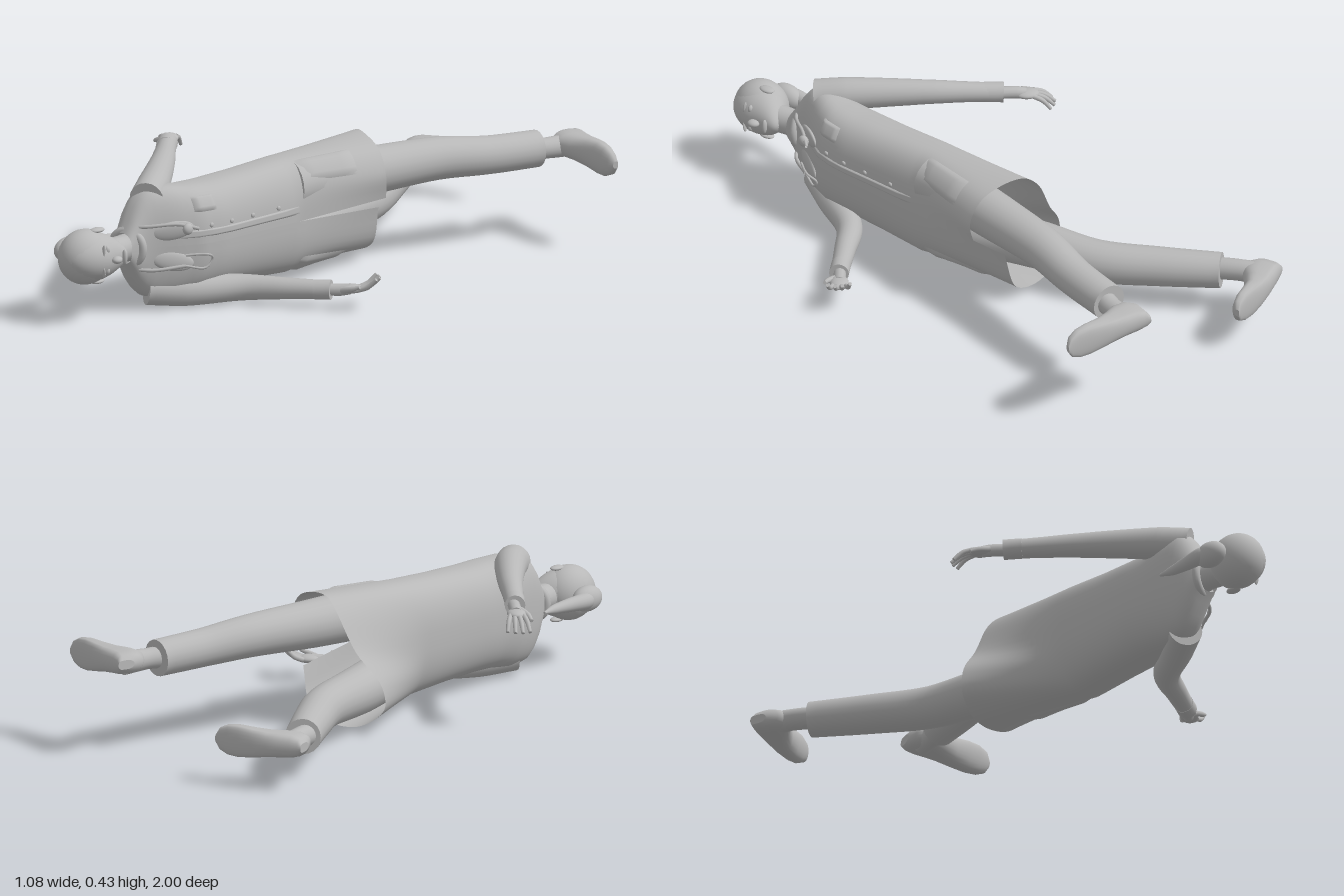
import * as THREE from 'three';

const V = (x, y, z) => new THREE.Vector3(x, y, z);
const Y = V(0, 1, 0);

export function createModel() {
  const model = new THREE.Group();
  const grey = new THREE.MeshStandardMaterial({ color: 0xb8b8b8, side: THREE.DoubleSide });
  grey.name = 'plain grey';

  function add(name, geo, parent = model) {
    const mesh = new THREE.Mesh(geo, grey);
    mesh.name = name;
    parent.add(mesh);
    return mesh;
  }

  // Skin a list of rings; closed rings wrap around and may be capped
  function loft(rings, closed = true, cap = closed) {
    const n = rings[0].length, pos = [], idx = [];
    rings.forEach(r => r.forEach(p => pos.push(p.x, p.y, p.z)));
    for (let i = 0; i < rings.length - 1; i++)
      for (let j = 0; j < (closed ? n : n - 1); j++) {
        const k = (j + 1) % n, a = i * n + j, b = i * n + k;
        idx.push(a, b, a + n, b, b + n, a + n);
      }
    if (cap) [0, rings.length - 1].forEach(i => {
      const c = rings[i].reduce((s, p) => s.add(p), V(0, 0, 0)).divideScalar(n);
      const base = pos.length / 3;
      pos.push(c.x, c.y, c.z);
      rings[i].forEach(p => pos.push(p.x, p.y, p.z));
      for (let j = 0; j < n; j++) {
        const a = base + 1 + j, b = base + 1 + (j + 1) % n;
        if (i) idx.push(base, a, b); else idx.push(base, b, a);
      }
    });
    const g = new THREE.BufferGeometry();
    g.setAttribute('position', new THREE.Float32BufferAttribute(pos, 3));
    g.setIndex(idx);
    g.computeVertexNormals();
    return g;
  }

  // Smooth limb through stations [x, y, z, radius]
  function limb(stations, steps = 24, sides = 20) {
    const path = new THREE.CatmullRomCurve3(stations.map(s => V(s[0], s[1], s[2])));
    const rings = [];
    for (let i = 0; i <= steps; i++) {
      const t = i / steps, f = t * (stations.length - 1);
      const k = Math.min(Math.floor(f), stations.length - 2);
      const r = THREE.MathUtils.lerp(stations[k][3], stations[k + 1][3], f - k);
      const c = path.getPoint(t), d = path.getTangent(t);
      const v = d.clone().cross(Y).normalize(), u = v.clone().cross(d).normalize();
      rings.push(Array.from({ length: sides }, (_, j) => {
        const a = j / sides * Math.PI * 2;
        return c.clone().addScaledVector(u, r * Math.cos(a)).addScaledVector(v, r * Math.sin(a));
      }));
    }
    return loft(rings);
  }

  function blob(name, p, s, parent) {
    const m = add(name, new THREE.SphereGeometry(1, 24, 16), parent);
    m.position.set(...p);
    m.scale.set(...s);
    return m;
  }
  const cord = (name, pts, r, closed = false) => add(name,
    new THREE.TubeGeometry(new THREE.CatmullRomCurve3(pts.map(p => V(...p)), closed), 40, r, 6, closed));

  // Coat: oval body rows [z, centre x, half depth, half width], flowing into a striding hem
  const rows = [[.13, .015, .115, .19], [.3, .01, .115, .18], [.45, .005, .118, .175],
    [.53, 0, .11, .178], [.6, -.02, .095, .185], [.66, -.035, .075, .18],
    [.7, -.04, .062, .145], [.73, -.035, .052, .09], [.755, -.03, .045, .05]];
  const hem = new THREE.CatmullRomCurve3([[.19, .25, -.19], [.2, .33, -.18], [.16, .4, -.19],
    [.08, .43, -.21], [0, .43, -.235], [-.05, .39, -.25], [-.12, .27, -.24], [-.2, .17, -.21],
    [-.21, .09, -.205], [-.14, .03, -.23], [-.04, .02, -.245], [.06, .06, -.25], [.1, .19, -.24]
  ].map(p => V(...p)));
  const soft = x => Math.sign(x) * Math.abs(x) ** 0.8;
  function coatPoint(u, z) {
    const zz = Math.max(z, .13);
    let k = 0;
    while (k < rows.length - 2 && zz > rows[k + 1][0]) k++;
    const f = (zz - rows[k][0]) / (rows[k + 1][0] - rows[k][0]);
    const [, cx, rx, ry] = rows[k].map((q, i) => THREE.MathUtils.lerp(q, rows[k + 1][i], f));
    const a = u * Math.PI * 2;
    const p = V(cx + rx * soft(Math.cos(a)), .222 + ry * soft(Math.sin(a)), zz);
    return z < .13 ? p.lerp(hem.getPoint(u), (.13 - z) / .36) : p;
  }
  // A point raised off the coat surface
  function above(u, z, lift) {
    const p = coatPoint(u, z), e = .004;
    const n = coatPoint(u + e, z).sub(coatPoint(u - e, z))
      .cross(coatPoint(u, z + e).sub(coatPoint(u, z - e))).normalize();
    return p.addScaledVector(n, lift);
  }
  function patch(name, u0, u1, z0, z1, lift) {
    const grid = [];
    for (let i = 0; i <= 8; i++) grid.push(Array.from({ length: 9 }, (_, j) =>
      above(u0 + (u1 - u0) * j / 8, z0 + (z1 - z0) * i / 8, (i % 8 && j % 8) ? lift : 0)));
    add(name, loft(grid, false));
  }
  const coatRings = [];
  for (let i = 0; i <= 44; i++) {
    const z = -.23 + (.755 + .23) * i / 44;
    coatRings.push(Array.from({ length: 65 }, (_, j) => coatPoint(j / 64, z)));
  }
  add('coat', loft(coatRings, false));
  patch('chestPocket', .085, .15, .47, .55, .007);
  patch('leftHipPocket', .1, .2, -.12, .1, .007);
  patch('rightHipPocket', .8, .9, -.12, .1, .007);
  patch('frontPlacket', .012, .03, .13, .6, .005);
  for (const z of [.5, .42, .33, .22]) {
    const p = above(.04, z, .003);
    blob('button', [p.x, p.y, p.z], [.005, .008, .008]);
  }

  // Collar and chest items
  const collar = add('collar', new THREE.TorusGeometry(.056, .013, 10, 32));
  collar.position.set(-.028, .222, .735);
  collar.rotation.y = .35;
  for (const s of [-1, 1]) {
    const lapel = blob(s < 0 ? 'rightLapel' : 'leftLapel',
      [.06, .222 + s * .05, .62], [.012, .032, .07]);
    lapel.rotation.set(s * .2, -.55, 0);
  }
  cord('neckTube', [[.13, .285, .57], [.09, .3, .62], [.03, .295, .7], [-.05, .28, .745],
    [-.085, .222, .75], [-.05, .165, .745], [.03, .15, .7], [.1, .16, .6]], .006);
  cord('hangingLoop', [[.1, .16, .6], [.13, .15, .54], [.14, .18, .52], [.15, .2, .55], [.11, .2, .61]], .004);
  blob('chestPiece', [.11, .285, .6], [.014, .019, .019]);

  // Trousers, ankles and shoes
  add('leftTrouser', limb([[.05, .32, .1, .085], [.1, .32, -.2, .078], [.15, .322, -.45, .069],
    [.2, .31, -.62, .062], [.24, .305, -.8, .06]]));
  add('rightTrouser', limb([[0, .13, .1, .08], [-.09, .13, -.2, .078], [-.14, .13, -.42, .069],
    [-.24, .135, -.6, .064], [-.345, .14, -.77, .058]]));
  add('leftAnkle', limb([[.235, .305, -.77, .036], [.26, .305, -.83, .034], [.28, .305, -.92, .038]], 8));
  add('rightAnkle', limb([[-.34, .14, -.74, .036], [-.375, .15, -.83, .035], [-.4, .15, -.9, .038]], 8));
  function shoe(name, heel, forward, bend) {
    const f = V(...forward).normalize(), up = f.clone().cross(Y).normalize();
    const side = up.clone().cross(f);
    // distance from heel, half width, height
    const cuts = [[0, .015, .06], [.012, .03, .1], [.04, .038, .122], [.08, .04, .12], [.12, .042, .095],
      [.17, .048, .07], [.22, .053, .056], [.26, .05, .046], [.29, .036, .034], [.304, .012, .018]];
    add(name, loft(cuts.map(([d, w, h]) => Array.from({ length: 24 }, (_, j) => {
      const a = j / 24 * Math.PI * 2, sn = Math.sin(a);
      const lift = h / 2 * (1 + Math.sign(sn) * Math.abs(sn) ** (sn < 0 ? .4 : .9))
        - bend * Math.sin(d / .304 * Math.PI);
      return V(...heel).addScaledVector(f, d).addScaledVector(side, w * Math.cos(a)).addScaledVector(up, lift);
    }))));
  }
  shoe('leftShoe', [.245, .315, -.983], [.29, -.02, .1], 0);
  shoe('rightShoe', [-.465, .15, -.925], [.29, 0, -.07], .018);

  // Sleeves with turned cuffs
  add('leftSleeve', limb([[-.02, .37, .66, .055], [-.08, .385, .575, .053], [-.235, .393, .39, .04],
    [-.32, .39, .3, .034], [-.405, .385, .21, .03]]));
  add('rightSleeve', limb([[-.03, .07, .65, .055], [.035, .056, .54, .052], [.13, .055, .39, .043],
    [.25, .06, .305, .035], [.37, .065, .225, .029]]));
  add('leftCuff', limb([[-.37, .387, .25, .033], [-.41, .385, .205, .033]], 3));
  add('rightCuff', limb([[.33, .063, .252, .032], [.375, .065, .222, .032]], 3));

  // Hands: wrist, palm, four fanned fingers and a thumb
  function hand(name, wrist, dir, curl, thumbSide) {
    const g = new THREE.Group();
    g.name = name;
    model.add(g);
    const w = V(...wrist), d = V(...dir).normalize(), s = V(-d.z, 0, d.x).multiplyScalar(thumbSide);
    const at = (along, across, lift) => {
      const p = w.clone().addScaledVector(d, along).addScaledVector(s, across);
      p.y += curl * lift;
      return [p.x, p.y, p.z];
    };
    add('wrist', limb([[...at(-.03, 0, 0), .02], [...at(.03, 0, 0), .02], [...at(.06, 0, .004), .018]], 6, 12), g);
    const palm = blob('palm', at(.065, 0, .005), [.04, .014, .03], g);
    palm.rotation.y = Math.atan2(-d.z, d.x);
    for (let i = 0; i < 4; i++) {
      const o = (i - 1.5) * .014, len = [.048, .062, .066, .058][i];
      add('finger', limb([[...at(.085, o, .005), .0085], [...at(.09 + len * .5, o * 1.4, .018), .008],
        [...at(.09 + len, o * 1.7, .045), .006]], 8, 8), g);
    }
    add('thumb', limb([[...at(.035, .018, .003), .011], [...at(.065, .038, .012), .009],
      [...at(.095, .046, .022), .006]], 8, 8), g);
  }
  hand('leftHand', [-.415, .385, .195], [-.72, -.02, -.69], -1, -1);
  hand('rightHand', [.375, .065, .218], [.77, .02, -.63], 1, 1);

  // Head: an egg whose lower part narrows and pushes forward into a chin
  const head = new THREE.Group();
  head.name = 'head';
  model.add(head);
  const skull = new THREE.SphereGeometry(1, 40, 32).rotateX(Math.PI / 2);
  const sp = skull.attributes.position;
  for (let i = 0; i < sp.count; i++) {
    const x = sp.getX(i), y = sp.getY(i), z = sp.getZ(i), k = Math.max(0, -z);
    sp.setXYZ(i, -.032 + .084 * x * (1 - .15 * k) + .045 * k * k, .222 + .08 * y * (1 - .25 * k * k), .89 + .106 * z);
  }
  skull.computeVertexNormals();
  add('face', skull, head);
  blob('hair', [-.042, .222, .907], [.083, .09, .093], head);
  const nose = blob('nose', [.056, .222, .858], [.017, .012, .02], head);
  nose.rotation.y = .4;
  blob('mouth', [.048, .222, .818], [.01, .025, .008], head);
  for (const s of [-1, 1]) {
    blob('eye', [.036, .222 + s * .034, .885], [.012, .014, .009], head);
    const brow = blob('brow', [.043, .222 + s * .035, .905], [.008, .02, .004], head);
    brow.rotation.x = -s * .15;
    blob('ear', [-.025, .222 + s * .085, .87], [.018, .008, .027], head);
  }
  add('neck', limb([[-.035, .222, .7, .052], [-.03, .222, .76, .043], [-.02, .222, .84, .046]], 10), head);

  // Ponytail
  blob('hairBun', [-.138, .222, .885], [.038, .042, .06], head);
  add('ponytail', limb([[-.13, .222, .91, .02], [-.152, .222, .86, .028], [-.148, .222, .78, .022],
    [-.145, .222, .71, .015], [-.15, .222, .66, .004]]), head);

  return model;
}
